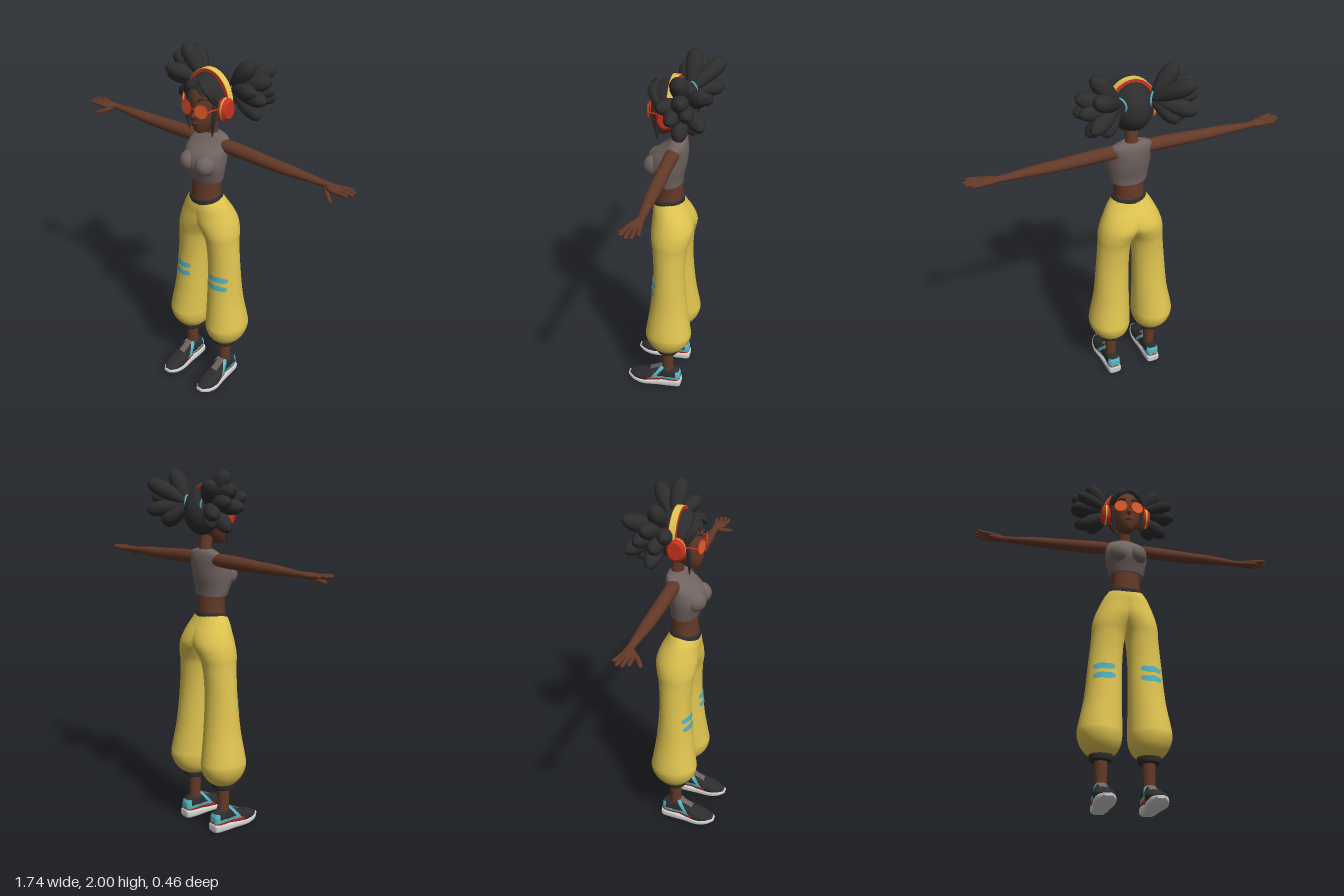
import * as THREE from 'three';

const mat = (name, color, side = THREE.FrontSide) => {
  const m = new THREE.MeshStandardMaterial({ color, side });
  m.name = name;
  return m;
};
const V = (x, y, z) => new THREE.Vector3(x, y, z);

// Closed smooth surface through rings of points, with flat end caps, facing outward.
function skin(rings) {
  const pos = [], idx = [], n = rings[0].length;
  rings.forEach(r => r.forEach(p => pos.push(p.x, p.y, p.z)));
  for (let i = 0; i < rings.length - 1; i++)
    for (let j = 0; j < n; j++) {
      const a = i * n + j, b = i * n + (j + 1) % n;
      idx.push(a, b, a + n, b, b + n, a + n);
    }
  [[rings[0], 1], [rings[rings.length - 1], 0]].forEach(([r, first]) => {
    const c = r.reduce((s, p) => s.add(p), V(0, 0, 0)).divideScalar(n), base = pos.length / 3;
    pos.push(c.x, c.y, c.z);
    r.forEach(p => pos.push(p.x, p.y, p.z));
    for (let j = 0; j < n; j++) {
      const a = base + 1 + j, b = base + 1 + (j + 1) % n;
      first ? idx.push(base, b, a) : idx.push(base, a, b);
    }
  });
  const at = i => V(pos[i * 3], pos[i * 3 + 1], pos[i * 3 + 2]);
  let vol = 0;
  for (let i = 0; i < idx.length; i += 3) vol += at(idx[i]).dot(at(idx[i + 1]).cross(at(idx[i + 2])));
  if (vol < 0) idx.reverse();
  const g = new THREE.BufferGeometry();
  g.setAttribute('position', new THREE.Float32BufferAttribute(pos, 3));
  g.setIndex(idx);
  g.computeVertexNormals();
  return g;
}

// Rows are [position on axis, centre a, centre b, radius a, radius b]; power < 1 makes boxier sections.
function loft(axis, rows, { seg = 32, steps = 5, power = 1, warp = p => p } = {}) {
  const rings = [], row = i => rows[Math.max(0, Math.min(rows.length - 1, i))];
  const pw = v => Math.sign(v) * Math.abs(v) ** power;
  for (let i = 0; i <= (rows.length - 1) * steps; i++) {
    const k = Math.floor(i / steps), f = (i % steps) / steps;
    const [t, ca, cb, ra, rb] = row(k).map((p1, c) => {
      const p0 = row(k - 1)[c], p2 = row(k + 1)[c], p3 = row(k + 2)[c];
      return p1 + 0.5 * f * (p2 - p0 + f * (2 * p0 - 5 * p1 + 4 * p2 - p3 + f * (3 * (p1 - p2) + p3 - p0)));
    });
    rings.push(Array.from({ length: seg }, (_, j) => {
      const w = j / seg * Math.PI * 2, a = ca + ra * pw(Math.cos(w)), b = cb + rb * pw(Math.sin(w));
      return warp(axis === 'y' ? V(a, t, b) : axis === 'x' ? V(t, a, b) : V(a, b, t));
    }));
  }
  return skin(rings);
}

// Round strand along a curve, with a radius rule.
function strand(points, radius, seg = 10, steps = 14) {
  const curve = new THREE.CatmullRomCurve3(points.map(p => V(...p)));
  const fr = curve.computeFrenetFrames(steps);
  return skin(Array.from({ length: steps + 1 }, (_, i) => {
    const c = curve.getPointAt(i / steps), r = Math.max(radius(i / steps), 0.0004);
    return Array.from({ length: seg }, (_, j) => {
      const w = j / seg * Math.PI * 2;
      return c.clone().addScaledVector(fr.normals[i], r * Math.cos(w)).addScaledVector(fr.binormals[i], r * Math.sin(w));
    });
  }));
}
const ball = (x, y, z, a, b, c) => new THREE.SphereGeometry(1, 24, 16).scale(a, b, c).translate(x, y, z);

function mirror(geo) {
  const g = geo.clone().scale(-1, 1, 1), ix = g.index.array;
  for (let i = 0; i < ix.length; i += 3) [ix[i], ix[i + 1]] = [ix[i + 1], ix[i]];
  return g;
}

// Sorts triangles into material groups by their centre.
function paint(g, pick, count) {
  const p = g.attributes.position, lists = Array.from({ length: count }, () => []), ix = g.index.array;
  for (let i = 0; i < ix.length; i += 3) {
    const t = [ix[i], ix[i + 1], ix[i + 2]], c = V(0, 0, 0);
    t.forEach(k => c.add(V(p.getX(k), p.getY(k), p.getZ(k))));
    lists[pick(c.divideScalar(3))].push(...t);
  }
  let start = 0;
  lists.forEach((l, m) => { g.addGroup(start, l.length, m); start += l.length; });
  g.setIndex(lists.flat());
  return g;
}

export function createModel() {
  const skinMat = mat('brown skin', 0x633927), hair = mat('black', 0x2d2d2e, THREE.DoubleSide);
  const shirt = mat('taupe', 0x706360), yellow = mat('yellow', 0xe0c450);
  const cyan = mat('cyan', 0x55b3c0, THREE.DoubleSide), red = mat('red', 0xc8321f);
  const orange = mat('orange', 0xe2622f), white = mat('sole grey', 0xcfcfcf);
  const model = new THREE.Group();
  model.name = 'figure';
  const add = (name, geo, m) => {
    const mesh = new THREE.Mesh(geo, m);
    mesh.name = name;
    model.add(mesh);
  };
  const both = (name, geo, m) => { add(name + 'Left', geo, m); add(name + 'Right', mirror(geo), m); };

  // Trousers: one half per leg, meeting on the centre plane, dipping at the front of the waist
  const dip = p => { p.y -= 0.25 * Math.max(0, p.z) * THREE.MathUtils.smoothstep(p.y, 1.12, 1.24); return p; };
  const leg = loft('y', [
    [.29, .127, -.015, .06, .065], [.31, .128, -.017, .085, .09], [.35, .131, -.018, .108, .118],
    [.4, .134, -.019, .119, .132], [.45, .132, -.019, .117, .126], [.6, .119, -.018, .102, .104],
    [.8, .109, -.018, .093, .088], [.95, .096, -.018, .092, .094], [1.02, .08, -.02, .105, .107],
    [1.08, .05, -.023, .123, .115], [1.14, .025, -.016, .125, .106], [1.2, .008, 0, .112, .09],
    [1.245, 0, .007, .089, .077]], { seg: 48, warp: p => { p.x = Math.max(p.x, 0); return dip(p); } });
  const lp = leg.attributes.position, ln = leg.attributes.normal;
  for (let i = 0; i < lp.count; i++) if (lp.getX(i) < 1e-4 && Math.abs(ln.getZ(i)) > 0.05) {
    const v = V(0, ln.getY(i), ln.getZ(i)).normalize();
    ln.setXYZ(i, v.x, v.y, v.z);
  }
  both('trouserLeg', leg, yellow);
  add('waistband', loft('y', [[1.226, 0, .005, .098, .083], [1.236, 0, .006, .096, .082], [1.25, 0, .007, .09, .079]],
    { warp: dip }), hair);
  both('cuff', loft('y', [[.258, .127, -.013, .053, .056], [.266, .127, -.013, .06, .063],
    [.295, .127, -.014, .062, .065], [.308, .127, -.015, .05, .055]]), hair);

  // Knee stripes following the front of the trousers
  for (const y0 of [.703, .757]) {
    const g = new THREE.PlaneGeometry(.116, .034, 20, 4), p = g.attributes.position;
    for (let i = 0; i < p.count; i++) {
      const u = p.getX(i) / .058, x = .127 + p.getX(i);
      const y = y0 + p.getY(i) * (0.35 + 0.65 * Math.sqrt(Math.max(0, 1 - u ** 4))) + .002 * Math.sin(u * 6);
      const k = (y - .6) / .2, e = (x - .119 + .01 * k) / (.102 - .009 * k);
      p.setXYZ(i, x, y, -.015 + (.104 - .016 * k) * Math.sqrt(Math.max(0, 1 - e * e)));
    }
    g.computeVertexNormals();
    both('kneeStripe', g, cyan);
  }

  // Ankles and shoes
  both('ankle', loft('y', [[.09, .127, -.015, .034, .036], [.16, .126, -.013, .033, .034], [.29, .126, -.013, .036, .036]]), skinMat);
  both('sole', loft('z', [[-.096, .127, .034, .022, .014], [-.086, .127, .03, .038, .026], [-.03, .127, .026, .043, .026],
    [.05, .129, .022, .046, .022], [.13, .131, .023, .055, .021], [.19, .13, .031, .046, .018],
    [.228, .128, .038, .02, .008]], { power: .6 }), white);
  const upper = loft('z', [[-.09, .127, .07, .022, .03], [-.074, .127, .078, .036, .048], [-.03, .127, .082, .041, .055],
    [.015, .127, .088, .043, .058], [.05, .128, .075, .046, .052], [.12, .131, .056, .053, .037],
    [.18, .13, .047, .044, .025], [.219, .128, .043, .02, .01]], { seg: 64, steps: 8, power: .85 });
  both('shoeUpper', paint(upper, c => {
    if (c.y < .062 && c.z < .1) return 2;
    if (c.z < -.066 && c.y < .115 || c.z < .07 && c.y < .08) return 1;
    if (Math.abs(c.z - .075 + .75 * (c.y - .06)) < .012 && c.y > .06) return Math.abs(c.x - .127) < .02 ? 3 : 1;
    return Math.abs(c.x - .127) < .02 && c.z > .005 && c.z < .09 ? 3 : 0;
  }, 4), [hair, cyan, red, shirt]);

  // Torso and neck
  add('midriff', loft('y', [[1.2, 0, .005, .088, .075], [1.28, 0, .003, .08, .073], [1.37, 0, .004, .085, .068]]), skinMat);
  add('cropTop', loft('y', [[1.34, 0, .006, .099, .074], [1.38, 0, .012, .108, .084], [1.44, 0, .016, .119, .102],
    [1.5, 0, .002, .119, .095], [1.545, 0, -.026, .116, .066], [1.575, 0, -.04, .1, .045],
    [1.59, 0, -.04, .055, .034]], { seg: 48 }), shirt);
  both('bust', ball(.05, 1.448, .07, .056, .058, .063), shirt);
  add('neck', loft('y', [[1.56, 0, -.04, .046, .036], [1.6, 0, -.036, .034, .032], [1.7, 0, -.02, .035, .036]]), skinMat);

  // Arms and hands
  both('arm', loft('x', [[.07, 1.538, -.03, .033, .038], [.2, 1.535, -.028, .036, .036], [.4, 1.53, -.028, .03, .034],
    [.5, 1.53, -.028, .027, .031], [.65, 1.528, -.031, .018, .021], [.7, 1.528, -.031, .016, .02],
    [.74, 1.527, -.022, .017, .034], [.78, 1.527, -.02, .013, .038], [.792, 1.527, -.02, .008, .034]], { seg: 24 }), skinMat);
  const digit = r => t => r * (t > .85 ? Math.sqrt(Math.max(0, 1 - ((t - .85) / .15) ** 2)) : 1.15 - .2 * t);
  [[-.048, -.062, .835], [-.03, -.036, .865], [-.01, -.01, .868], [.008, .018, .85]].forEach(([z0, z1, x]) =>
    both('finger', strand([[.765, 1.528, z0], [.81, 1.531, (z0 + z1) / 2], [x, 1.534, z1]], digit(.0095)), skinMat));
  both('thumb', strand([[.71, 1.522, -.02], [.745, 1.505, .02], [.785, 1.49, .05]], digit(.011)), skinMat);

  // Head and face
  add('head', loft('y', [[1.614, 0, .05, .014, .018], [1.624, 0, .044, .032, .038], [1.66, 0, .024, .056, .071],
    [1.7, 0, .005, .074, .093], [1.75, 0, -.01, .086, .109], [1.8, 0, -.015, .09, .113], [1.85, 0, -.02, .08, .1],
    [1.89, 0, -.025, .05, .06], [1.898, 0, -.025, .02, .025]], { seg: 40 }), skinMat);
  add('nose', ball(0, 1.718, .1, .014, .017, .02), skinMat);
  add('lips', ball(0, 1.674, .09, .022, .009, .011), skinMat);
  add('mouth', strand([[-.02, 1.675, .094], [0, 1.674, .102], [.02, 1.675, .094]], () => .002), hair);
  both('eyebrow', strand([[.02, 1.803, .097], [.045, 1.813, .087], [.07, 1.805, .066]], t => .007 * (1 - .6 * t)), hair);

  // Round tinted glasses
  const face = g => g.rotateY(.22).translate(.048, 1.752, .104);
  both('lens', face(new THREE.CylinderGeometry(.036, .036, .006, 32).rotateX(Math.PI / 2)), orange);
  both('lensRim', face(new THREE.TorusGeometry(.036, .0035, 8, 32)), red);
  both('glassesArm', strand([[.083, 1.756, .097], [.095, 1.76, .06], [.1, 1.765, 0]], () => .004), red);
  add('glassesBridge', strand([[-.014, 1.757, .112], [0, 1.76, .117], [.014, 1.757, .112]], () => .003), red);

  // Hair cap, open at the face
  add('hairCap', new THREE.SphereGeometry(1, 40, 24, 0, Math.PI * 2, 0, 1.92).rotateX(-.87)
    .scale(.108, .13, .13).translate(0, 1.785, -.025), hair);
  const taper = r => t => r * Math.max(0, Math.sin(Math.PI * (.15 + .85 * t))) ** .7;
  [[.017, [0, 1.895, .055], [.04, 1.873, .082], [.075, 1.83, .07], [.09, 1.77, .045]],
    [.016, [.03, 1.89, .06], [.065, 1.86, .068], [.09, 1.81, .045], [.094, 1.74, .03]],
    [.011, [.01, 1.885, .07], [.03, 1.865, .095], [.055, 1.825, .093]],
    [.011, [.088, 1.81, .04], [.086, 1.71, .052], [.074, 1.6, .05]]
  ].forEach(([r, ...pts]) => both('hairLock', strand(pts, taper(r)), hair));

  // Bunches: lobes fanning out from each hair tie
  const lobe = r => t => r * (t > .65 ? Math.sqrt(Math.max(0, 1 - ((t - .65) / .35) ** 2)) : .3 + .7 * Math.sin(Math.PI * t / 1.3));
  [[.22, 1.995, -.08, .045], [.255, 1.94, -.225, .044], [.312, 1.915, -.11, .043], [.317, 1.82, -.06, .042],
    [.275, 1.78, -.215, .042], [.265, 1.705, -.1, .042], [.285, 1.875, -.005, .04], [.2, 1.72, -.17, .04],
    [.31, 1.85, -.15, .042]
  ].forEach(([x, y, z, r]) => both('hairLobe', strand([[.085, 1.825, -.085],
    [.085 + (x - .085) * .5, 1.825 + (y - 1.825) * .52, -.085 + (z + .085) * .5], [x, y, z]], lobe(r), 14, 18), hair));
  both('hairTie', new THREE.TorusGeometry(.042, .005, 8, 28).rotateY(2.2).translate(.088, 1.825, -.088), cyan);

  // Headphones
  const band = (r0, r1, depth) => {
    const s = new THREE.Shape();
    s.absarc(0, 0, r1, -.15, Math.PI + .15, false);
    s.absarc(0, 0, r0, Math.PI + .15, -.15, true);
    return new THREE.ExtrudeGeometry(s, { depth, bevelEnabled: false, curveSegments: 40 })
      .translate(0, 0, -depth / 2).scale(1, 1.18, 1).translate(0, 1.775, -.026);
  };
  add('headband', band(.119, .132, .034), yellow);
  add('headbandLining', band(.113, .1295, .04), red);
  const disc = (r0, r1, w, x) => new THREE.CylinderGeometry(r0, r1, w, 32).rotateZ(-Math.PI / 2)
    .scale(1, 1.25, 1).translate(x, 1.752, -.005);
  both('earPad', disc(.05, .046, .025, .103), red);
  both('earCupRing', disc(.049, .049, .01, .12), yellow);
  both('earCup', disc(.036, .05, .018, .134), red);
  return model;
}
